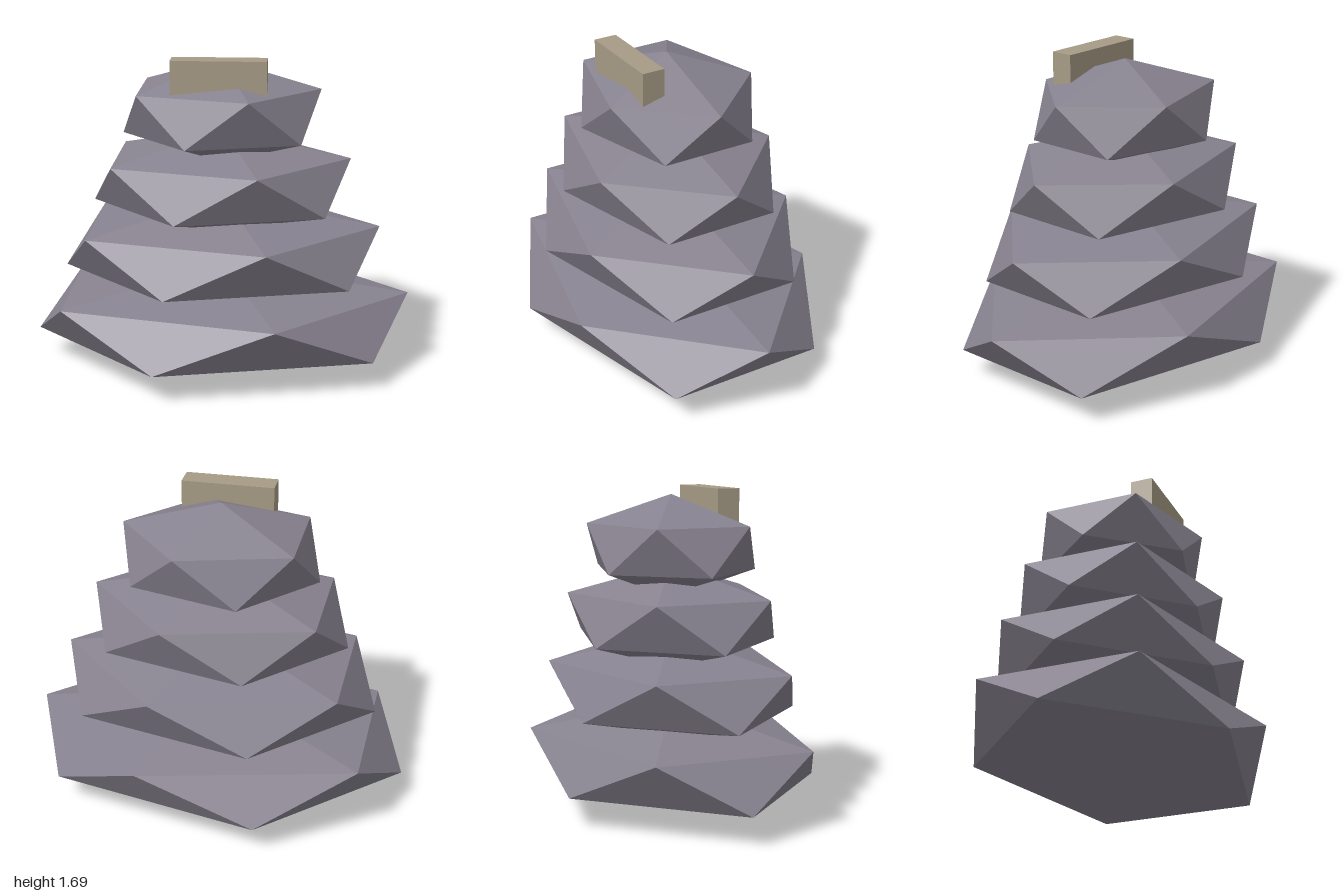
import * as THREE from 'three';

// Squashed icosahedron standing on a pole: two twisted five-sided rings and two poles
function stoneGeometry(rx, halfHeight, rz) {
  const ringY = halfHeight / Math.sqrt(5);
  const ring = (y, offset) => Array.from({ length: 5 }, (_, k) => {
    const a = (k * 72 + offset) * Math.PI / 180;
    return [rx * Math.cos(a), y, rz * Math.sin(a)];
  });
  const top = ring(ringY, 0);
  const bottom = ring(-ringY, 36);
  const peak = [0, halfHeight, 0];
  const foot = [0, -halfHeight, 0];
  const points = [];
  for (let k = 0; k < 5; k++) {
    const n = (k + 1) % 5;
    points.push(
      peak, top[n], top[k],
      top[k], top[n], bottom[k],
      top[n], bottom[n], bottom[k],
      bottom[k], bottom[n], foot,
    );
  }
  const geometry = new THREE.BufferGeometry();
  geometry.setAttribute('position', new THREE.Float32BufferAttribute(points.flat(), 3));
  geometry.computeVertexNormals();
  return geometry;
}

export function createModel() {
  const model = new THREE.Group();
  model.name = 'stackedStones';

  const slate = new THREE.MeshStandardMaterial({ color: 0x87828f, flatShading: true });
  slate.name = 'slate';
  const sandstone = new THREE.MeshStandardMaterial({ color: 0xa69b85 });
  sandstone.name = 'sandstone';

  // Four stones, each narrower than the one below
  const halfHeight = 0.274;
  for (let i = 0; i < 4; i++) {
    const stone = new THREE.Mesh(
      stoneGeometry(1 - 0.16 * i, halfHeight, 0.727 - 0.097 * i), slate);
    stone.name = `stone${i + 1}`;
    stone.position.y = halfHeight + 0.368 * i;
    model.add(stone);
  }

  // Small block set into the front of the top stone
  const block = new THREE.Mesh(new THREE.BoxGeometry(0.49, 0.24, 0.122), sandstone);
  block.name = 'topBlock';
  block.position.set(0, 1.567, 0.218);
  model.add(block);

  return model;
}
